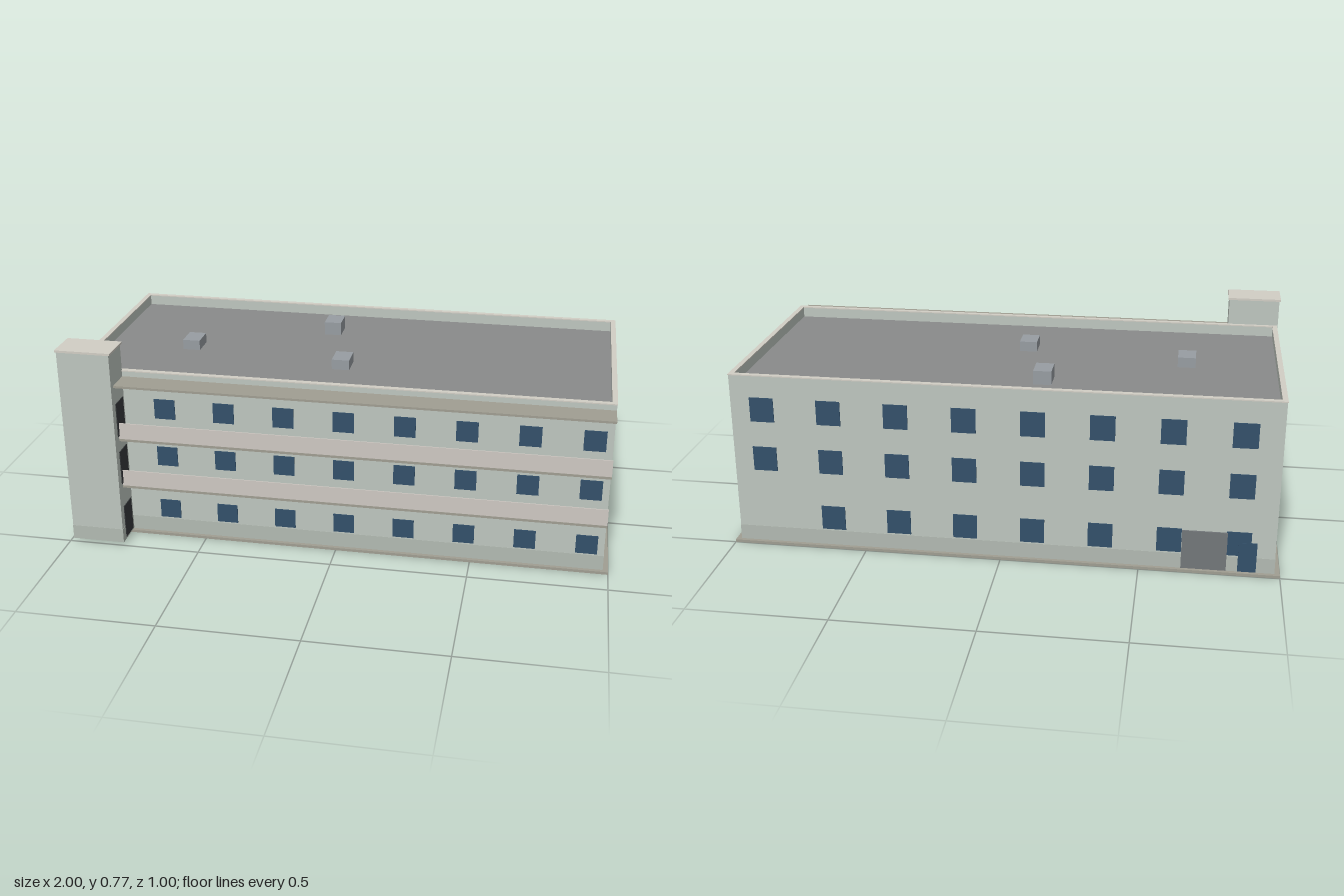
import * as THREE from 'three';

const mat = (color, side = THREE.FrontSide) => new THREE.MeshStandardMaterial({ color, side });
const M = {
  wall: mat(0xbec6bf), plinth: mat(0xb2bab2), slab: mat(0xa09e92), roof: mat(0x8a8b8b),
  coping: mat(0xd2cec5), panel: mat(0xcfc9c3), glass: mat(0x33506a), door: mat(0x36393b),
  gate: mat(0x73777a), unit: mat(0x979da2), shell: mat(0xbec6bf, THREE.DoubleSide),
};

export function createModel() {
  const model = new THREE.Group();

  // Box given by its extents on each axis
  function box(name, x0, x1, y0, y1, z0, z1, material, parent = model) {
    const mesh = new THREE.Mesh(new THREE.BoxGeometry(x1 - x0, y1 - y0, z1 - z0), material);
    mesh.position.set((x0 + x1) / 2, (y0 + y1) / 2, (z0 + z1) / 2);
    mesh.name = name;
    parent.add(mesh);
    return mesh;
  }
  function group(name) {
    const g = new THREE.Group();
    g.name = name;
    model.add(g);
    return g;
  }

  const X = 0.98, ZB = -0.485, ZF = 0.38, ROOF = 0.62, TOP = 0.662, T = 0.003;

  // Rectangular frame around the roof edge
  function roofFrame(name, y, height, out, thick, material) {
    const rect = (Type, d) => {
      const p = new Type();
      p.moveTo(-X - d, -ZF - d).lineTo(X + d, -ZF - d);
      p.lineTo(X + d, -ZB + d).lineTo(-X - d, -ZB + d).closePath();
      return p;
    };
    const shape = rect(THREE.Shape, out);
    shape.holes.push(rect(THREE.Path, -thick));
    const geo = new THREE.ExtrudeGeometry(shape, { depth: height, bevelEnabled: false });
    geo.rotateX(-Math.PI / 2);
    const mesh = new THREE.Mesh(geo, material);
    mesh.position.y = y;
    mesh.name = name;
    model.add(mesh);
  }

  // Main block, ground slab, plinth and roof
  box('groundSlab', -1, 1, 0, 0.01, -0.5, 0.395, M.slab);
  box('mainBlock', -X, X, 0.01, ROOF - 0.002, ZB, ZF, M.wall);
  box('plinth', -X - 0.001, X + 0.001, 0.01, 0.067, ZB - 0.001, ZF + 0.001, M.plinth);
  box('roofDeck', -0.966, 0.966, ROOF - 0.004, ROOF, -0.471, 0.366, M.roof);
  roofFrame('parapet', ROOF - 0.002, TOP - ROOF - 0.002, 0, 0.015, M.wall);
  roofFrame('coping', TOP - 0.004, 0.004, 0.002, 0.017, M.coping);

  // Rooftop units: centre x, centre z, top
  const units = group('rooftopUnits');
  for (const [x, z, top] of [[-0.128, -0.278, 0.671], [-0.635, -0.018, 0.658], [-0.028, 0.087, 0.658]])
    box('rooftopUnit', x - 0.033, x + 0.033, ROOF, top, z - 0.045, z + 0.045, M.unit, units);

  // Windows
  const rows = [0.073, 0.295, 0.485];
  const windows = group('windows');
  const frontRows = [[0.073, 0.146], [0.29, 0.366], [0.48, 0.557]];
  frontRows.forEach(([y0, y1]) => {
    for (let i = 0; i < 8; i++) {
      const x = -0.636 + i * 0.2218;
      box('frontWindow', x - 0.039, x + 0.039, y0, y1, ZF - T, ZF + T, M.glass, windows);
    }
  });
  rows.forEach((y, r) => {
    for (let i = r ? 0 : 1; i < 8; i++) {
      const x = 0.865 - i * 0.245;
      box('backWindow', x - 0.044, x + 0.044, y, y + 0.092, ZB - T, ZB + T, M.glass, windows);
    }
    const centres = r ? [0.272, 0.056, -0.161, -0.377] : [0.236, -0.052, -0.34];
    for (const z of centres)
      for (const s of [-1, 1])
        box('sideWindow', s * X - T, s * X + T, y, y + 0.092, z - 0.0435, z + 0.0435, M.glass, windows);
  });

  // Back entrances
  box('backGate', -0.81, -0.65, 0.012, 0.16, ZB - 0.006, ZB, M.gate);
  box('backDoor', -0.915, -0.85, 0.012, 0.125, ZB - 0.005, ZB, M.glass);

  // Access galleries with solid railings, and the canopy above
  const galleries = group('galleries');
  for (const y of [0.223, 0.413]) {
    box('galleryFloor', -0.79, X, y, y + 0.009, ZF, 0.458, M.slab, galleries);
    box('galleryRailing', -0.79, X, y + 0.009, y + 0.071, 0.453, 0.457, M.panel, galleries);
  }
  box('canopy', -0.79, X, 0.63, 0.638, ZF, 0.475, M.slab, galleries);

  // Stair tower, open underneath
  const tower = group('stairTower');
  const shell = box('towerShell', -0.985, -0.79, 0.012, 0.762, ZF - 0.002, 0.497, M.shell, tower);
  const faces = Array.from(shell.geometry.index.array);
  faces.splice(18, 6);
  shell.geometry.setIndex(faces);
  shell.geometry.clearGroups();
  box('towerCap', -0.99, -0.785, 0.762, 0.77, 0.372, 0.5, M.coping, tower);
  box('towerPlinthFront', -0.986, -0.789, 0.012, 0.067, 0.497, 0.498, M.plinth, tower);
  for (const x of [-0.986, -0.79])
    box('towerPlinthSide', x, x + 0.001, 0.012, 0.067, ZF, 0.497, M.plinth, tower);
  for (const [y0, y1] of [[0.02, 0.149], [0.243, 0.373], [0.435, 0.564]])
    box('towerDoor', -0.79, -0.787, y0, y1, 0.395, 0.469, M.door, tower);

  return model;
}
